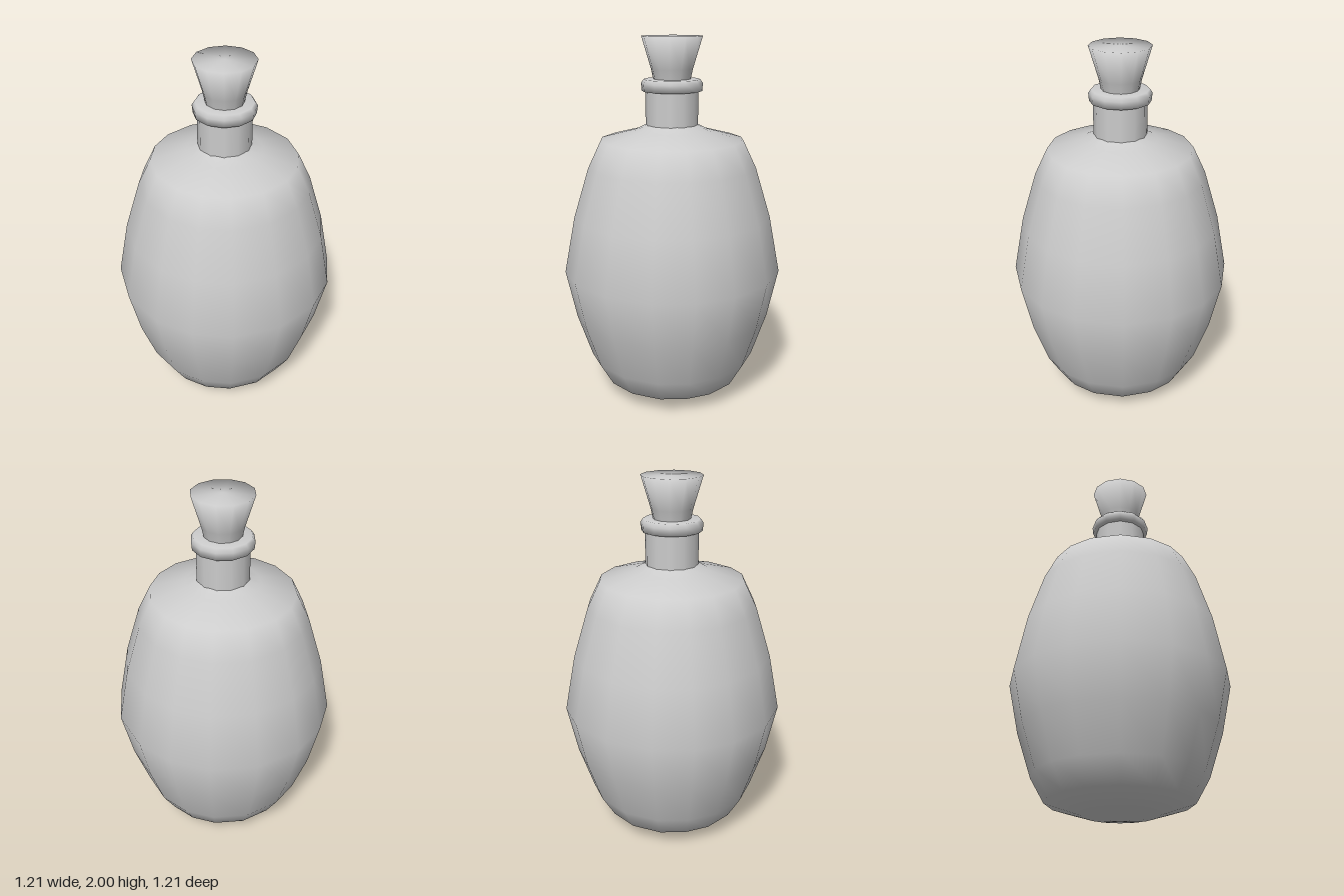
import * as THREE from 'three';

// Revolve a [radius, height] profile listed from bottom to top, with smooth normals
function turned(name, profile, sides, material) {
  const points = profile.map(([r, y]) => new THREE.Vector2(r, y));
  const mesh = new THREE.Mesh(new THREE.LatheGeometry(points, sides), material);
  mesh.name = name;
  return mesh;
}

// Shift the in-between columns slightly toward the diagonals
function evenOutColumns(geometry) {
  const pos = geometry.attributes.position;
  for (let i = 0; i < pos.count; i++) {
    const x = pos.getX(i), z = pos.getZ(i);
    const r = Math.hypot(x, z);
    const a = Math.atan2(x, z);
    const b = a + 0.033 * Math.sin(4 * a) * Math.abs(Math.sin(4 * a));
    pos.setXYZ(i, r * Math.sin(b), pos.getY(i), r * Math.cos(b));
  }
}

export function createModel() {
  const model = new THREE.Group();
  model.name = 'stopperedBottle';

  const glass = new THREE.MeshStandardMaterial({ color: 0xcccccc });
  glass.name = 'pale grey';

  // Rounded body with a shallow domed base and sloping shoulder
  const body = turned('body', [
    [0, 0], [0.2, 0.03], [0.39, 0.09], [0.465, 0.22], [0.545, 0.46], [0.603, 0.73],
    [0.543, 1.04], [0.46, 1.31], [0.39, 1.455], [0.2, 1.505], [0.13, 1.54],
  ], 16, glass);
  evenOutColumns(body.geometry);
  model.add(body);

  // Straight neck
  model.add(turned('neck', [[0.142, 1.5], [0.142, 1.72]], 12, glass));

  // Rolled lip around the mouth
  model.add(turned('lip', [
    [0.13, 1.71], [0.162, 1.714], [0.166, 1.755], [0.152, 1.776], [0.08, 1.778],
  ], 12, glass));

  // Flared stopper with a flat top
  model.add(turned('stopper', [
    [0.098, 1.765], [0.112, 1.83], [0.163, 2.0], [0, 2.0],
  ], 12, glass));

  return model;
}
